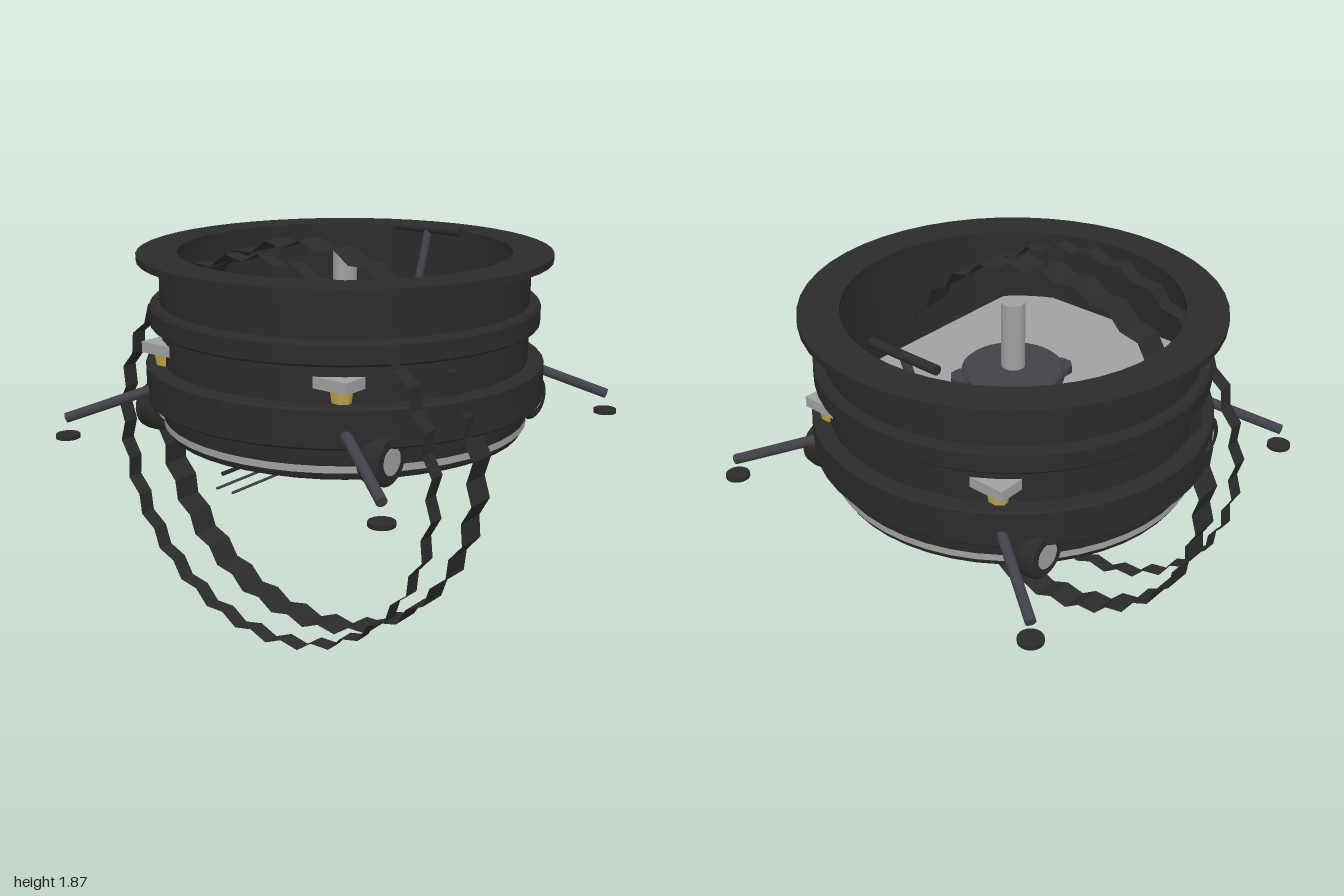
import * as THREE from 'three';
import { toCreasedNormals } from 'three/addons/utils/BufferGeometryUtils.js';

const mat = (name, color, extra = {}) =>
  Object.assign(new THREE.MeshStandardMaterial({ color, ...extra }), { name });

export function createModel() {
  const model = new THREE.Group();
  const dark = mat('charcoal', 0x2b2b2b);
  const strap = mat('strap charcoal', 0x2b2b2b, { side: THREE.DoubleSide, flatShading: true });
  const slate = mat('slate', 0x424149);
  const grey = mat('light grey', 0x9fa1a2);
  const yellow = mat('amber', 0xc2a947);

  const add = (name, geo, material, x = 0, y = 0, z = 0) => {
    const m = new THREE.Mesh(geo, material);
    m.name = name;
    m.position.set(x, y, z);
    model.add(m);
    return m;
  };
  const box = (name, w, h, d, material, x, y, z) =>
    add(name, new THREE.BoxGeometry(w, h, d), material, x, y, z);
  const disc = (name, r, h, material, x, y, z, seg = 32) =>
    add(name, new THREE.CylinderGeometry(r, r, h, seg), material, x, y, z);
  // cylinder between two points
  const rod = (name, a, b, r, material) => {
    const p = new THREE.Vector3(...a), q = new THREE.Vector3(...b);
    const dir = q.clone().sub(p);
    const m = add(name, new THREE.CylinderGeometry(r, r, dir.length(), 12), material);
    m.position.copy(p).add(q).multiplyScalar(0.5);
    m.quaternion.setFromUnitVectors(new THREE.Vector3(0, 1, 0), dir.normalize());
    return m;
  };
  const lathe = (pts, seg) => toCreasedNormals(
    new THREE.LatheGeometry(pts.map(p => new THREE.Vector2(...p)), seg), 0.45);

  // Drum: stepped outer wall, top flange, inner wall and inner base
  add('drum', lathe([
    [0, 0.947], [0.79, 0.947], [0.84, 0.967], [0.855, 1.0], [0.855, 1.12],
    [0.92, 1.12], [0.93, 1.13], [0.93, 1.29], [0.92, 1.3], [0.855, 1.3],
    [0.855, 1.465], [0.895, 1.465], [0.905, 1.475], [0.905, 1.555], [0.895, 1.57],
    [0.855, 1.57], [0.855, 1.763], [0.955, 1.763], [0.955, 1.795], [0.77, 1.795],
    [0.77, 1.763], [0.84, 1.763], [0.84, 1.1], [0, 1.1],
  ], 48), dark);
  add('lowerBand', new THREE.CylinderGeometry(0.859, 0.859, 0.032, 48, 1, true), grey, 0, 1.015, 0);

  // Inner floor: a disc with its sides cut straight
  const floor = new THREE.CylinderGeometry(0.84, 0.84, 0.03, 96);
  const fp = floor.attributes.position;
  for (let i = 0; i < fp.count; i++) {
    fp.setX(i, THREE.MathUtils.clamp(fp.getX(i), -0.58, 0.58));
    fp.setZ(i, THREE.MathUtils.clamp(fp.getZ(i), -0.75, 0.75));
  }
  add('floor', toCreasedNormals(floor, 0.45), grey, 0, 1.4, 0);

  // Central pedestal
  add('pedestalBase', lathe([[0.237, 1.41], [0.237, 1.455], [0.222, 1.47], [0, 1.47]], 32), slate);
  disc('pedestalPost', 0.055, 0.33, grey, 0, 1.625, 0, 20);
  for (const x of [-0.13, 0.13]) for (const z of [-0.19, 0.17])
    disc('pedestalLug', 0.065, 0.04, slate, x, 1.43, z, 8).rotation.y = Math.PI / 8;

  // T-shaped handle
  rod('handleGrip', [-0.19, 1.8, -0.69], [0.19, 1.8, -0.69], 0.022, dark);
  rod('handleStem', [0, 1.8, -0.69], [0, 1.45, -0.575], 0.02, slate);
  rod('handleFoot', [0, 1.45, -0.575], [0, 1.39, -0.555], 0.02, grey);

  // Zigzag hoops around the drum
  const hoop = (name, r, cy, z, width) => {
    const n = 60, g = new THREE.PlaneGeometry(1, width, n, 1), p = g.attributes.position;
    for (let i = 0; i < p.count; i++) {
      const k = i % (n + 1), a = (k / n) * Math.PI * 2, rr = k % 2 ? r - 0.035 : r;
      p.setXYZ(i, rr * Math.sin(a), -rr * Math.cos(a), p.getY(i));
    }
    g.computeVertexNormals();
    add(name, g, strap, 0, cy, z);
  };
  hoop('wideHoop', 0.935, 0.937, 0.265, 0.15);
  hoop('narrowHoop', 0.91, 0.94, 0.57, 0.08);

  // Four corners: leg, foot, wheel and lamp
  const tyre = lathe([[0, -0.055], [0.095, -0.055], [0.11, -0.042], [0.114, -0.015],
    [0.114, 0.015], [0.11, 0.042], [0.095, 0.055], [0, 0.055]], 24);
  const lampGeo = new THREE.CylinderGeometry(0.058, 0.048, 0.06, 8).rotateY(Math.PI / 8);
  for (const sx of [-1, 1]) for (const sz of [-1, 1]) {
    rod('leg', [sx * 0.55, 1.19, sz * 0.72], [sx * 0.9, 1.04, sz * 0.945], 0.024, slate);
    disc('foot', 0.056, 0.018, dark, sx * 0.9, 0.953, sz * 0.944, 20);
    add('wheel', tyre, dark, sx * 0.645, 1.066, sz * 0.6).rotation.z = Math.PI / 2;
    disc('wheelHub', 0.06, 0.114, grey, sx * 0.645, 1.065, sz * 0.597, 20).rotation.z = Math.PI / 2;
    box('lampHood', 0.175, 0.05, 0.13, grey, sx * 0.495, 1.388, sz * 0.685);
    add('lamp', lampGeo, yellow, sx * 0.503, 1.335, sz * 0.685).scale.z = 0.75;
  }

  // Underside mount
  box('mountPlate', 0.14, 0.02, 0.23, slate, 0, 0.942, 0.015);
  disc('mountHousing', 0.06, 0.12, dark, 0, 0.885, 0, 12);
  for (const s of [-1, 1]) box('mountBracket', 0.025, 0.07, 0.1, slate, s * 0.06, 0.9, 0);
  box('mountCollar', 0.17, 0.012, 0.2, dark, 0, 0.855, 0);
  add('mountDome', lathe([[0, 0.765], [0.035, 0.768], [0.058, 0.79], [0.065, 0.83], [0, 0.83]], 16), slate);
  box('mountBox', 0.1, 0.06, 0.18, dark, 0, 0.917, -0.19);
  for (const s of [-1, 1])
    rod('longRod', [s * 0.045, 0.857, 0.0], [s * 0.045, 0.857, 0.855], 0.006, slate);
  rod('upperRod', [0, 0.937, 0.47], [0, 0.937, 0.865], 0.009, dark);
  rod('leverArm', [0.08, 0.91, -0.05], [0.13, 0.82, -0.32], 0.012, slate);
  rod('leverGrip', [0.13, 0.82, -0.31], [0.165, 0.76, -0.465], 0.02, dark);
  rod('sideRod', [-0.105, 0.91, 0.02], [-0.14, 0.8, 0.02], 0.007, slate);
  return model;
}
